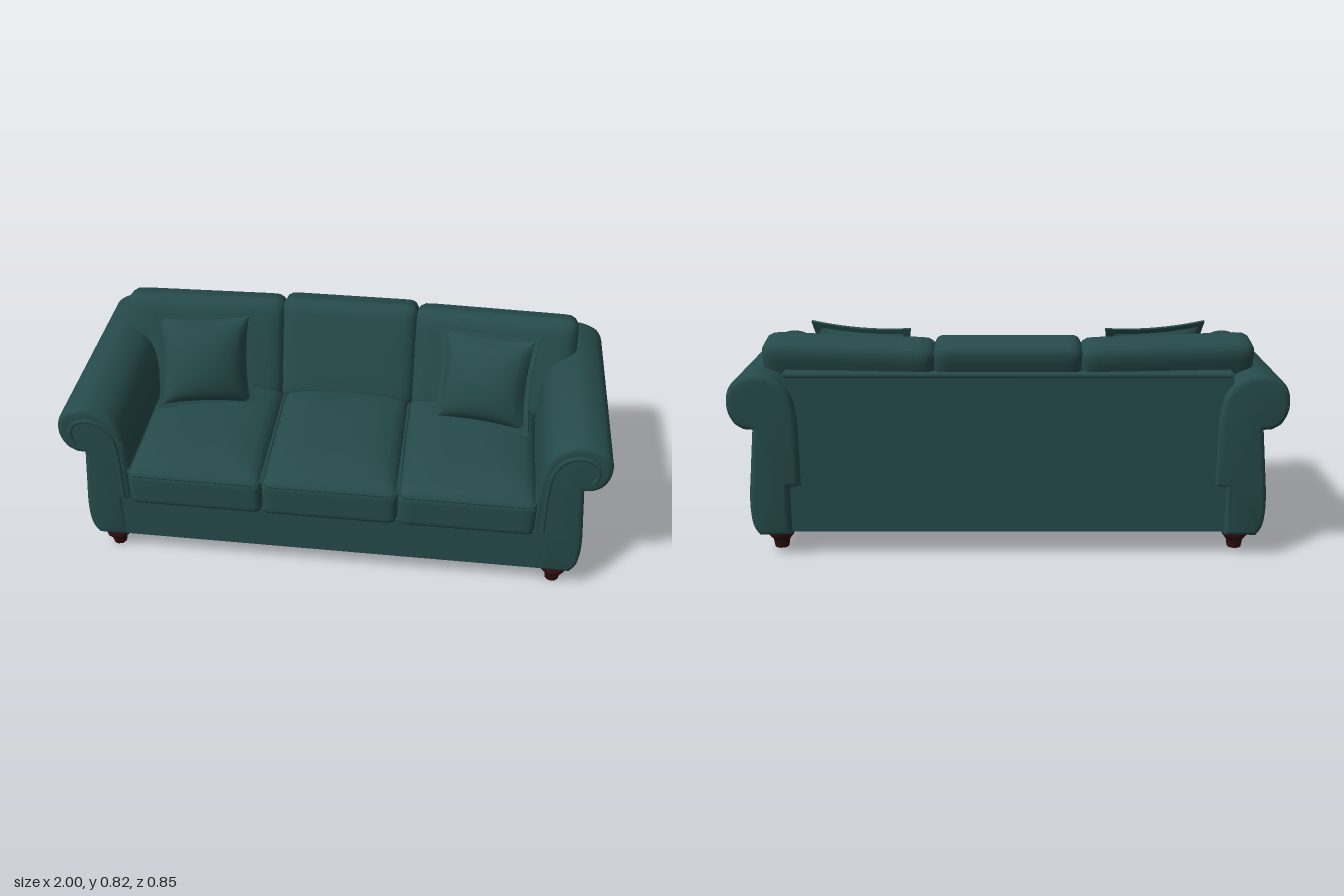
import * as THREE from 'three';
import { toCreasedNormals } from 'three/addons/utils/BufferGeometryUtils.js';

const fabric = new THREE.MeshStandardMaterial({ color: 0x264a4a });
fabric.name = 'teal fabric';
const wood = new THREE.MeshStandardMaterial({ color: 0x2e0d0f });
wood.name = 'dark wood';

const V = (x, y, z) => new THREE.Vector3(x, y, z);

function part(name, geometry, material, x = 0, y = 0, z = 0) {
  const mesh = new THREE.Mesh(geometry, material);
  mesh.name = name;
  mesh.position.set(x, y, z);
  return mesh;
}

// Moves every vertex of a geometry by a rule, then rebuilds the normals
function reshape(geometry, rule, crease = 0.9) {
  const p = geometry.attributes.position;
  const v = V(0, 0, 0);
  for (let i = 0; i < p.count; i++) {
    v.fromBufferAttribute(p, i);
    rule(v);
    p.setXYZ(i, v.x, v.y, v.z);
  }
  return toCreasedNormals(geometry, crease);
}

// Rounded block whose chosen face (axis 'y' or 'z', positive side) is puffed up
function cushion(w, h, d, r, axis, crown) {
  const half = V(w / 2, h / 2, d / 2);
  const inner = half.clone().subScalar(r);
  const low = inner.clone().negate();
  const other = axis === 'y' ? 'z' : 'y';
  return reshape(new THREE.BoxGeometry(w, h, d, 20, 14, 20), (v) => {
    const a = v.x / half.x, b = v[other] / half[other];
    const side = v[axis] / half[axis];
    const core = v.clone().clamp(low, inner);
    v.sub(core);
    if (v.lengthSq() > 0) v.setLength(r);
    v.add(core);
    if (side > 0) v[axis] += crown * side * (1 - a ** 4) * (1 - b ** 4);
  });
}

// Square pillow with a flat flange and pulled-out corners
function pillowGeometry(size, thickness) {
  return reshape(new THREE.BoxGeometry(2, 2, 2, 20, 20, 1), (v) => {
    const u = v.x, w = v.y;
    const a = Math.max(0, 1 - (u / 0.88) ** 2), b = Math.max(0, 1 - (w / 0.88) ** 2);
    v.x = u * size * (1 - 0.1 * (1 - w * w));
    v.y = w * size * (1 - 0.08 * (1 - u * u));
    v.z *= 0.005 + thickness * Math.pow(a * b, 0.5);
  }, 0.6);
}

// Arm outline: swelling outer side, rolled top, upright inner side
function armShape() {
  const s = new THREE.Shape();
  s.moveTo(0.79, 0.088);
  s.lineTo(0.905, 0.085);
  s.splineThru([[0.93, 0.13], [0.936, 0.22], [0.925, 0.35], [0.912, 0.485]].map((p) => new THREE.Vector2(...p)));
  s.lineTo(0.94, 0.487);
  s.splineThru([[0.975, 0.51], [0.998, 0.56], [0.995, 0.62], [0.965, 0.665], [0.89, 0.69],
    [0.815, 0.665], [0.77, 0.61], [0.752, 0.53]].map((p) => new THREE.Vector2(...p)));
  s.lineTo(0.75, 0.275);
  s.lineTo(0.79, 0.27);
  s.closePath();
  return s;
}

function makeArm() {
  const arm = new THREE.Group();
  const bevel = 0.02;
  const body = new THREE.ExtrudeGeometry(armShape(), {
    depth: 0.815 - 2 * bevel, bevelThickness: bevel, bevelSize: bevel,
    bevelOffset: -bevel, bevelSegments: 3, curveSegments: 5,
  });
  body.translate(0, 0, -0.425 + bevel);
  arm.add(part('armBody', toCreasedNormals(body, 0.8), fabric));
  // Piping following the scroll on the front face
  const path = new THREE.CatmullRomCurve3([[0.94, 0.53], [0.952, 0.57], [0.935, 0.62], [0.885, 0.64],
    [0.83, 0.62], [0.795, 0.56], [0.785, 0.45], [0.785, 0.29]].map(([x, y]) => V(x, y, 0.389)));
  arm.add(part('armPiping', new THREE.TubeGeometry(path, 36, 0.009, 6), fabric));
  return arm;
}

export function createModel() {
  const sofa = new THREE.Group();
  sofa.name = 'sofa';

  // Frame
  sofa.add(part('base', new THREE.BoxGeometry(1.62, 0.185, 0.77), fabric, 0, 0.1875, 0));
  sofa.add(part('backPanel', new THREE.BoxGeometry(1.6, 0.59, 0.08), fabric, 0, 0.39, -0.36));
  const bead = new THREE.CylinderGeometry(0.01, 0.01, 1.58, 8);
  bead.rotateZ(Math.PI / 2);
  sofa.add(part('backPiping', bead, fabric, 0, 0.682, -0.395));

  // Arms: the left one is turned around and its depth flipped to mirror it
  const left = makeArm();
  left.name = 'leftArm';
  const right = makeArm();
  right.name = 'rightArm';
  right.scale.x = -1;
  sofa.add(left, right);

  // Seat and back cushions
  const seat = cushion(0.503, 0.15, 0.64, 0.025, 'y', 0.045);
  const centreBack = cushion(0.53, 0.42, 0.14, 0.035, 'z', 0.012);
  const outerBack = cushion(0.63, 0.42, 0.14, 0.045, 'z', 0.012);
  const w = 0.248, d = 0.315;
  const weltPath = new THREE.CatmullRomCurve3([V(-w + 0.02, 0, d), V(w - 0.02, 0, d), V(w, 0, d - 0.02),
    V(w, 0, -d), V(-w, 0, -d), V(-w, 0, d - 0.02)], true, 'catmullrom', 0.05);
  const welt = new THREE.TubeGeometry(weltPath, 80, 0.006, 5, true);
  for (const i of [-1, 0, 1]) {
    sofa.add(part('seatCushion', seat, fabric, i * 0.503, 0.355, 0.1));
    sofa.add(part('seatPiping', welt, fabric, i * 0.503, 0.42, 0.1));
    const back = part('backCushion', i ? outerBack : centreBack, fabric, i * 0.57, 0.59, i ? -0.235 : -0.257);
    back.rotation.set(-0.3, -0.07 * i, 0);
    sofa.add(back);
  }

  // Throw pillows, leaning back and turned inwards
  const pillow = pillowGeometry(0.193, 0.085);
  for (const side of [-1, 1]) {
    const mesh = part('throwPillow', pillow, fabric, side * 0.54, 0.632, -0.055);
    mesh.rotation.set(-0.38, -0.22 * side, 0.04 * side, 'YXZ');
    sofa.add(mesh);
  }

  // Turned feet
  const profile = [[0, 0], [0.026, 0], [0.031, 0.03], [0.048, 0.05], [0.049, 0.062], [0.036, 0.08], [0.045, 0.095], [0, 0.1]]
    .map((p) => new THREE.Vector2(...p));
  const foot = toCreasedNormals(new THREE.LatheGeometry(profile, 10), 0.5);
  for (const x of [-0.85, 0.85]) {
    for (const z of [0.325, -0.3]) sofa.add(part('foot', foot, wood, x, 0, z));
  }
  return sofa;
}
